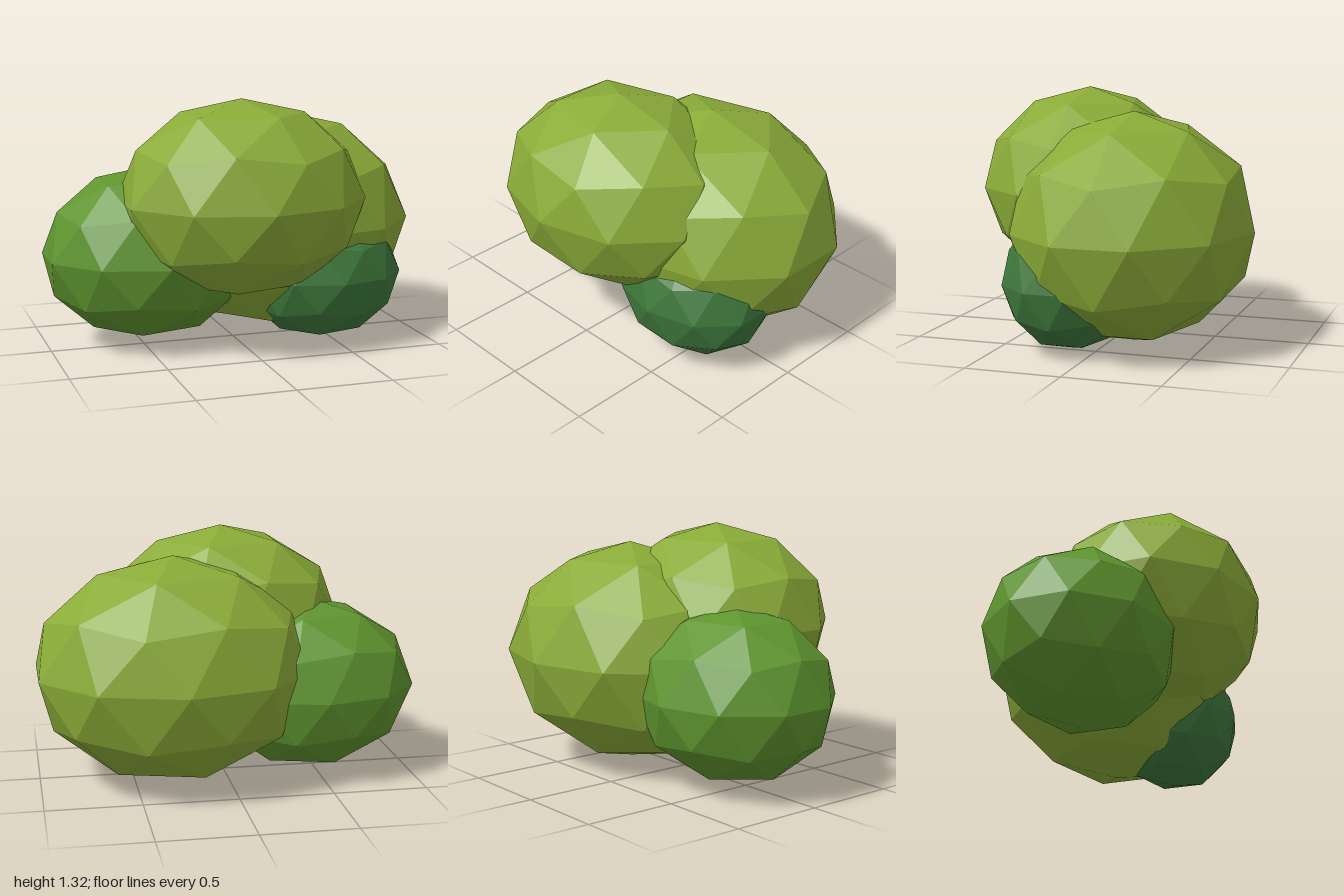
import * as THREE from 'three';

const olive = new THREE.MeshStandardMaterial({ name: 'olive leaf', color: 0x8aab38 });
const green = new THREE.MeshStandardMaterial({ name: 'mid green leaf', color: 0x5f952f });
const dark = new THREE.MeshStandardMaterial({ name: 'dark green leaf', color: 0x3e783c });

// Faceted leaf clump: a once-divided icosahedron standing on a corner, stretched per axis
function clump(name, material, centre, radii) {
  const golden = (1 + Math.sqrt(5)) / 2;
  const geometry = new THREE.IcosahedronGeometry(1, 1);
  geometry.rotateZ(-Math.atan(1 / golden)); // bring one corner to the top
  geometry.scale(...radii);
  geometry.computeVertexNormals(); // unshared corners give flat facets
  const mesh = new THREE.Mesh(geometry, material);
  mesh.name = name;
  mesh.position.set(...centre);
  return mesh;
}

export function createModel() {
  const bush = new THREE.Group();
  bush.name = 'bush';
  bush.add(
    clump('frontClump', olive, [-0.02, 0.8, 0.21], [0.66, 0.52, 0.56]),
    clump('backClump', olive, [0.29, 0.62, -0.14], [0.747, 0.597, 0.633]),
    clump('rightClump', green, [-0.46, 0.49, -0.05], [0.57, 0.46, 0.49]),
    clump('smallLeftClump', dark, [0.46, 0.36, 0.13], [0.44, 0.36, 0.36]),
  );
  return bush;
}
